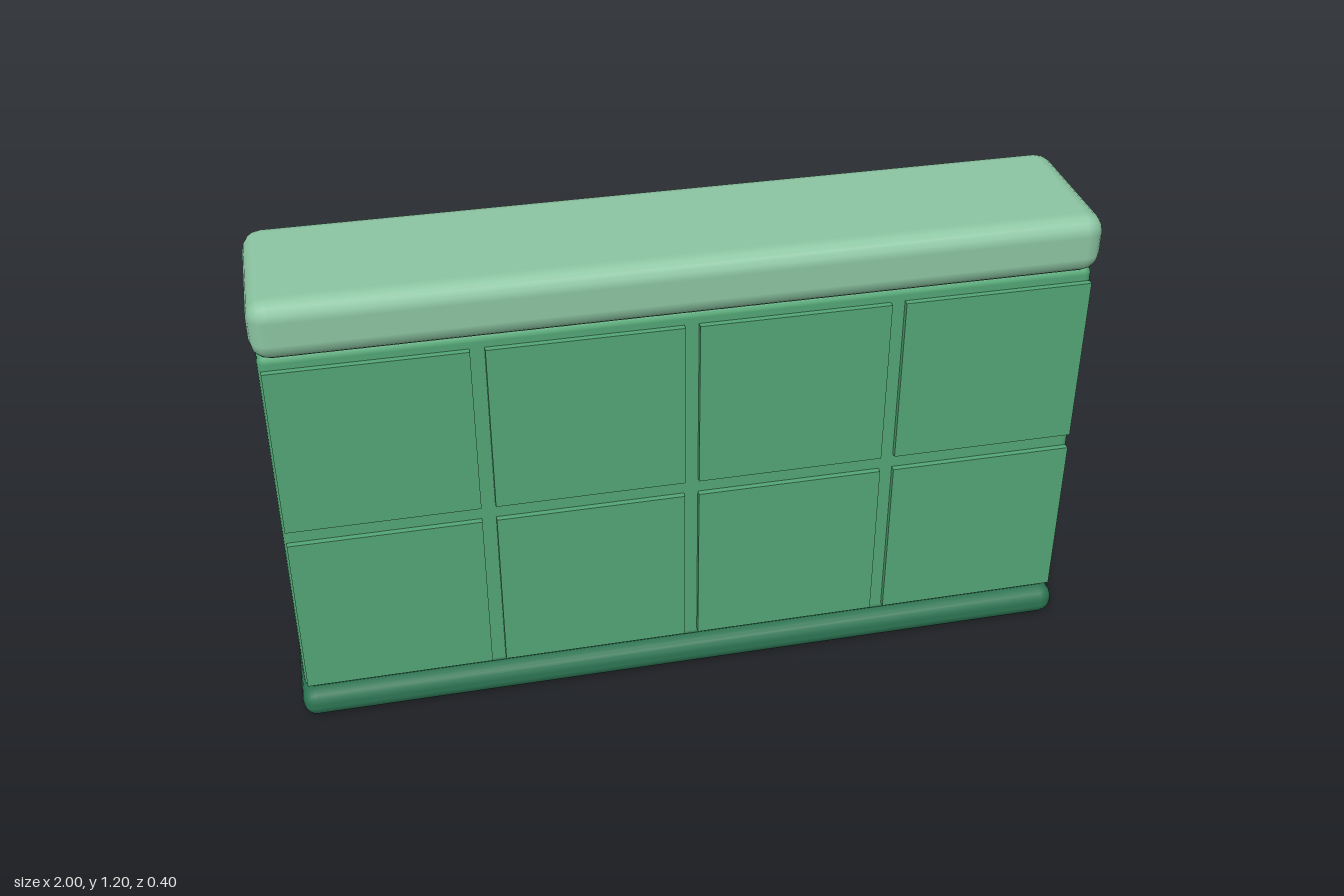
import * as THREE from 'three';
import { RoundedBoxGeometry } from 'three/addons/geometries/RoundedBoxGeometry.js';

const material = (name, color) => {
  const m = new THREE.MeshStandardMaterial({ color });
  m.name = name;
  return m;
};

export function createModel() {
  const wall = new THREE.Group();
  wall.name = 'wall';
  const leafGreen = material('leaf green', 0x52a675);
  const paleGreen = material('pale green', 0x8cc5a2);
  const darkGreen = material('dark green', 0x2d7553);

  const add = (name, geometry, mat, x, y, z) => {
    const mesh = new THREE.Mesh(geometry, mat);
    mesh.name = name;
    mesh.position.set(x, y, z);
    wall.add(mesh);
  };

  // Rounded slabs: plinth, core and padded cap
  add('base', new RoundedBoxGeometry(2, 0.08, 0.4, 2, 0.035), darkGreen, 0, 0.04, 0);
  add('body', new RoundedBoxGeometry(1.98, 0.98, 0.34, 2, 0.02), leafGreen, 0, 0.565, 0);
  add('cap', new RoundedBoxGeometry(2, 0.15, 0.4, 2, 0.047), paleGreen, 0, 1.125, 0);

  // Two rows of four raised panels on both faces
  const panel = new THREE.BoxGeometry(0.465, 0.44, 0.015);
  for (const side of [1, -1])
    for (const y of [0.32, 0.8])
      for (let i = 0; i < 4; i++)
        add(side > 0 ? 'frontPanel' : 'backPanel', panel, leafGreen, (i - 1.5) * 0.5, y, side * 0.1775);

  return wall;
}
